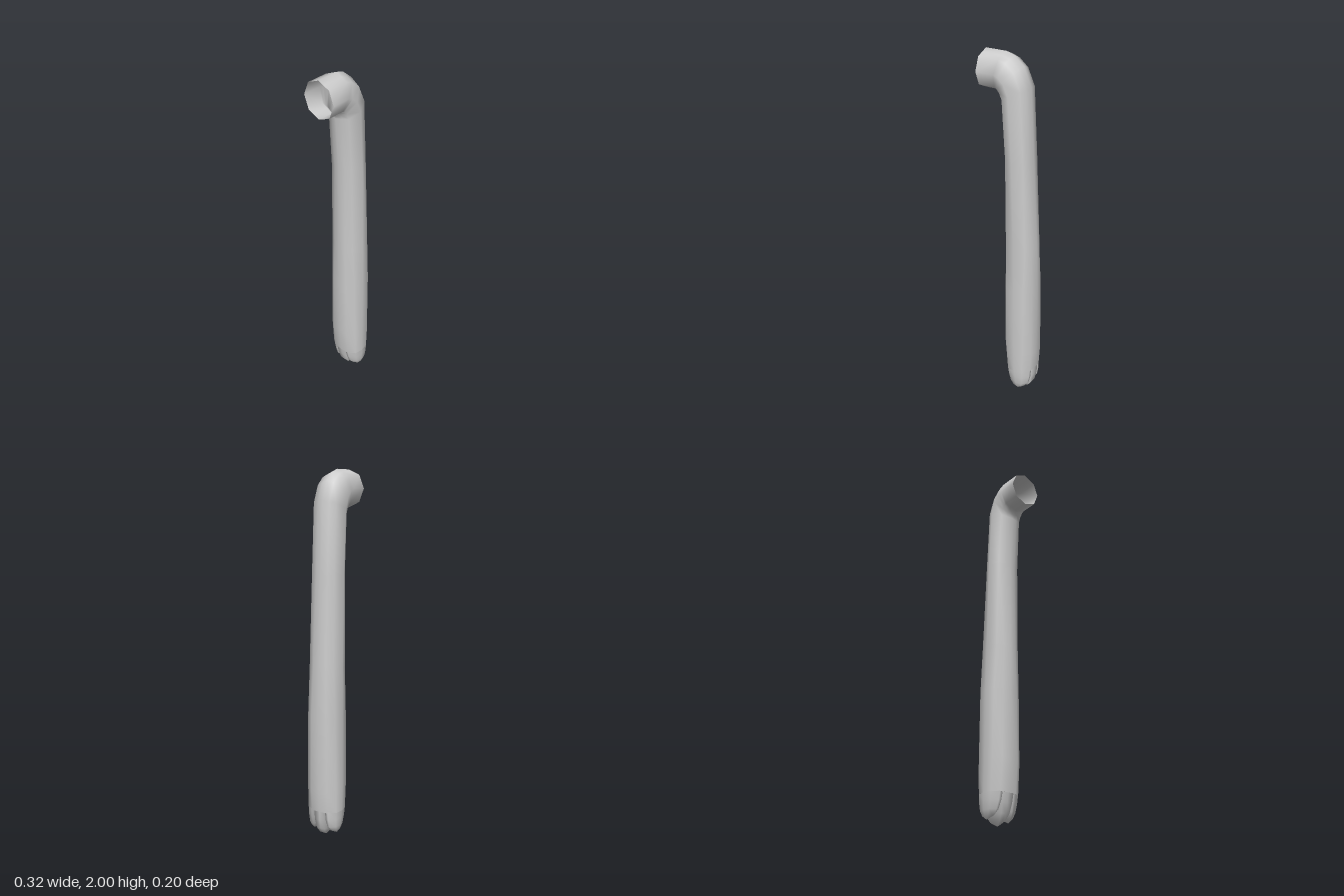
import * as THREE from 'three';

// Skin a list of closed rings (each an array of Vector3) into one smooth surface
function loft(rings) {
  const n = rings[0].length;
  const pos = [], idx = [];
  rings.forEach(r => r.forEach(p => pos.push(p.x, p.y, p.z)));
  for (let i = 0; i < rings.length - 1; i++) {
    for (let j = 0; j < n; j++) {
      const k = (j + 1) % n;
      const a = i * n + j, b = i * n + k, c = a + n, d = b + n;
      idx.push(a, b, c, b, d, c);
    }
  }
  const g = new THREE.BufferGeometry();
  g.setAttribute('position', new THREE.Float32BufferAttribute(pos, 3));
  g.setIndex(idx);
  g.computeVertexNormals();
  return g;
}

// Quarter sections: octagonal at the shoulder, boxier at the hand
const OCT = [[1, 0], [0.854, 0.354], [0.707, 0.707], [0, 1]];
const BOX = [[1, 0], [0.97, 0.5], [0.6, 0.92], [0, 1]];

function section(t) {
  const q = OCT.map(([u, v], i) => [
    THREE.MathUtils.lerp(u, BOX[i][0], t),
    THREE.MathUtils.lerp(v, BOX[i][1], t)
  ]);
  const half = [...q, ...q.slice(0, 3).reverse().map(([u, v]) => [-u, v])];
  return [...half, ...half.slice(1, -1).reverse().map(([u, v]) => [u, -v])];
}

// Outer x, y, inner x, y, half depth, boxiness: from shoulder opening to hand
const ARM = [
  [-0.163, 2.0, -0.163, 1.8, 0.094, 0],
  [-0.04, 2.0, -0.075, 1.8, 0.094, 0],
  [0.005, 1.985, -0.068, 1.795, 0.094, 0],
  [0.06, 1.94, -0.058, 1.78, 0.094, 0],
  [0.105, 1.84, -0.05, 1.76, 0.094, 0],
  [0.125, 1.46, -0.03, 1.46, 0.094, 0.1],
  [0.15, 0.98, -0.03, 0.95, 0.094, 0.4],
  [0.157, 0.7, -0.028, 0.7, 0.097, 0.8],
  [0.156, 0.28, -0.025, 0.33, 0.098, 1],
  [0.148, 0.16, -0.01, 0.16, 0.097, 1]
];

function armRing([ox, oy, ix, iy, depth, t]) {
  return section(t).map(([u, v]) => new THREE.Vector3(
    (ox + ix) / 2 + u * (ox - ix) / 2,
    (oy + iy) / 2 + u * (oy - iy) / 2,
    v * depth
  ));
}

// Finger sections are strips cut from the hand section
const MIDDLE = [[0.98, -0.35], [1, 0], [0.98, 0.35], [-0.98, 0.35], [-1, 0], [-0.98, -0.35]];
const SIDE = [[0.98, 0.36], [0.96, 0.52], [0.6, 0.92], [0, 1], [-0.6, 0.92], [-0.96, 0.52], [-0.98, 0.36]];
const SIDE_MIRROR = SIDE.map(([u, v]) => [u, -v]).reverse();

// Height, width scale, depth scale, centre x
const FINGER = [
  [0.165, 1, 1, 0.069],
  [0.11, 0.93, 0.92, 0.072],
  [0.055, 0.77, 0.74, 0.075],
  [0.022, 0.48, 0.48, 0.076],
  [0, 0.02, 0.02, 0.076]
];

function fingerGeometry(strip, zc, lift) {
  return loft(FINGER.map(([y, sx, sz, cx]) => strip.map(([u, v]) => new THREE.Vector3(
    cx + u * 0.079 * sx,
    y + lift * (1 - y / 0.165),
    zc + (v * 0.097 - zc) * sz
  ))));
}

export function createModel() {
  const group = new THREE.Group();
  group.name = 'arm';
  const grey = new THREE.MeshStandardMaterial({ color: 0xcccccc, side: THREE.DoubleSide });
  grey.name = 'light grey';

  const add = (name, geometry) => {
    const mesh = new THREE.Mesh(geometry, grey);
    mesh.name = name;
    group.add(mesh);
  };

  // Bent sleeve, open at the shoulder
  const rings = ARM.map(armRing);
  add('armTube', loft(rings));

  // Web closing the hand between the fingers
  const last = rings[rings.length - 1];
  const centre = new THREE.Vector3(0.069, 0.162, 0);
  add('palmWeb', loft([last, last.map(p => p.clone().lerp(centre, 0.99))]));

  // Three short fingers
  add('middleFinger', fingerGeometry(MIDDLE, 0, 0.005));
  add('frontFinger', fingerGeometry(SIDE, 0.069, 0.03));
  add('backFinger', fingerGeometry(SIDE_MIRROR, -0.069, 0.03));
  return group;
}
